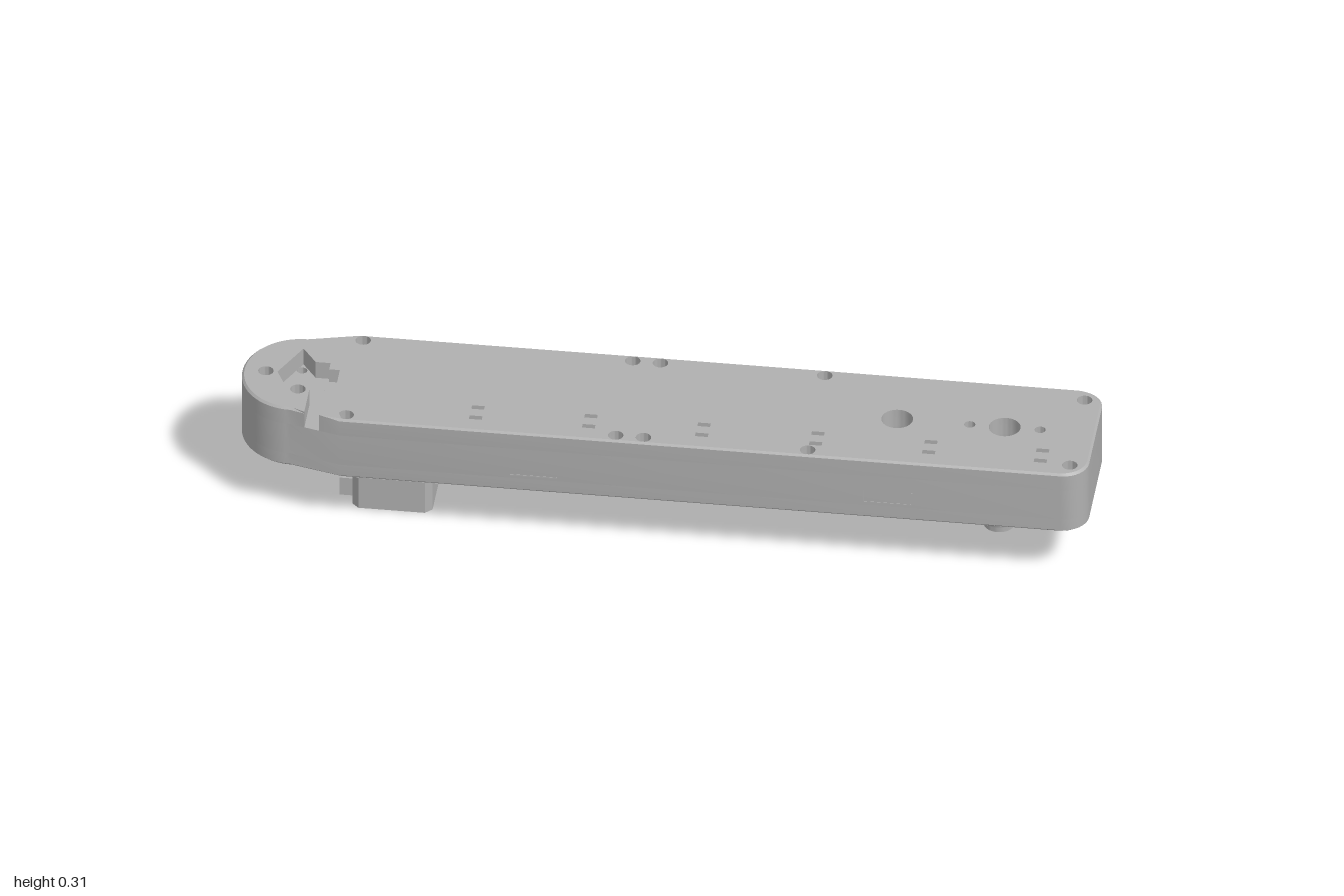
import * as THREE from 'three';
import { toCreasedNormals } from 'three/addons/utils/BufferGeometryUtils.js';

const grey = new THREE.MeshStandardMaterial({ color: 0xb0b0b0 });
grey.name = 'machined grey';

const BOTTOM = 0.142, POCKET = 0.177, LEDGE = 0.26, TOP = 0.305, CHAMFER = 0.005;
const HALF = 0.173;

// Plan outline as [x, z]; the top layers carry a side notch, the bottom layer a motor pocket
function outline(kind) {
  const p = [];
  const endX = z => -0.87 - 0.13 * Math.sqrt(1 - (z / 0.142) ** 2);
  for (let i = 0; i <= 8; i++) {
    const a = Math.PI / 2 * i / 8;
    p.push([0.94 + 0.06 * Math.cos(a), HALF - 0.06 + 0.06 * Math.sin(a)]);
  }
  p.push([-0.75, HALF]);
  if (kind === 'notched') {
    p.push([-0.8, 0.16], [-0.8, 0.025], [-0.775, 0.025], [-0.775, -0.025], [-0.8, -0.025],
      [-0.8, -0.05], [-0.835, -0.05], [-0.87, -0.1], [-0.918, 0], [-0.87, 0.1],
      [-0.835, 0.06], [-0.835, 0.152]);
  }
  let cut = kind === 'pocketed';
  for (let i = 0; i <= 36; i++) {
    const t = Math.PI * i / 36, z = 0.142 * Math.cos(t);
    if (kind === 'pocketed' && z <= -0.03 && z >= -0.06) continue;
    if (cut && z < -0.06) {
      cut = false;
      p.push([endX(-0.03), -0.03], [-0.915, -0.03], [-0.915, 0.03], [-0.88, 0.1], [-0.8, 0.11],
        [-0.53, 0.11], [-0.53, 0.06], [-0.46, 0.06], [-0.46, -0.06], [-0.53, -0.06],
        [-0.53, -0.11], [-0.8, -0.11], [-0.88, -0.1], [-0.905, -0.06], [endX(-0.06), -0.06]);
    }
    p.push([-0.87 - 0.13 * Math.sin(t), z]);
  }
  p.push([-0.75, -HALF]);
  for (let i = 0; i <= 8; i++) {
    const a = -Math.PI / 2 + Math.PI / 2 * i / 8;
    p.push([0.94 + 0.06 * Math.cos(a), -HALF + 0.06 + 0.06 * Math.sin(a)]);
  }
  return p;
}

const toShape = pts => new THREE.Shape(pts.map(([x, z]) => new THREE.Vector2(x, z)));
const circle = ([x, z], r) => new THREE.Path().absarc(x, z, r, 0, Math.PI * 2, true);
const rect = (x, z, w, d) => new THREE.Path([[-1, -1], [-1, 1], [1, 1], [1, -1]]
  .map(([a, b]) => new THREE.Vector2(x + a * w / 2, z + b * d / 2)));

// Extrude a plan shape between two heights
function slab(shape, y0, y1, steps = 1) {
  const g = new THREE.ExtrudeGeometry(shape, { depth: y1 - y0, bevelEnabled: false, curveSegments: 20, steps });
  return g.rotateX(Math.PI / 2).translate(0, y1, 0);
}

export function createModel() {
  const model = new THREE.Group();
  const add = (name, geo, parent = model) => {
    const m = new THREE.Mesh(toCreasedNormals(geo, 0.5), grey);
    m.name = name;
    parent.add(m);
    return m;
  };

  // Hole positions
  const screws = [[-0.945, 0]];
  for (const s of [-1, 1]) {
    for (const x of [-0.737, -0.105, -0.04, 0.345]) screws.push([x, s * 0.151]);
    screws.push([0.957, s * 0.132]);
  }
  const nose = [[-0.87, -0.075], [-0.87, 0.075], [-0.797, 0]];
  const shafts = [[0.535, 0], [0.787, 0]];

  // Housing, stacked in layers
  const housing = new THREE.Group();
  housing.name = 'housing';
  model.add(housing);
  function layer(name, kind, y0, y1, screwRadius, extra, chamferSide = 0) {
    const pts = outline(kind);
    const shape = toShape(pts);
    screws.forEach(p => shape.holes.push(circle(p, screwRadius)));
    shafts.forEach(p => shape.holes.push(circle(p, 0.037)));
    shape.holes.push(...extra);
    const g = slab(shape, y0, y1);
    if (chamferSide) {
      // Pull the outer rim inwards on the exposed side
      const rim = new Set(outline('plain').map(([x, z]) => x.toFixed(4) + ',' + z.toFixed(4)));
      const pos = g.attributes.position;
      const edge = chamferSide > 0 ? y1 : y0;
      for (let i = 0; i < pos.count; i++) {
        const x = pos.getX(i), z = pos.getZ(i);
        if (Math.abs(pos.getY(i) - edge) > 1e-5) continue;
        if (!rim.has(x.toFixed(4) + ',' + z.toFixed(4))) continue;
        pos.setX(i, x * 0.995);
        pos.setZ(i, z * 0.972);
      }
    }
    add(name, g, housing);
  }
  const topDetails = () => {
    const h = [circle([0.705, 0], 0.013), circle([0.87, 0], 0.013)];
    for (const x of [-0.437, -0.172, 0.093, 0.36, 0.625, 0.887])
      for (const z of [0.082, 0.123]) h.push(rect(x, z, 0.03, 0.014));
    return h;
  };
  const bottomDetails = () => {
    const slot = new THREE.Path();
    slot.absarc(0.64, -0.145, 0.014, Math.PI, Math.PI * 2);
    slot.absarc(0.64, -0.1, 0.014, 0, Math.PI);
    slot.closePath();
    return [slot, circle([0.555, -0.114], 0.011)];
  };
  layer('bottomRim', 'pocketed', BOTTOM, BOTTOM + CHAMFER, 0.018, bottomDetails(), -1);
  layer('lowerShell', 'pocketed', BOTTOM + CHAMFER, POCKET, 0.018, bottomDetails());
  layer('middleShell', 'plain', POCKET, LEDGE, 0.012,
    [...nose.map(p => circle(p, 0.012)), circle([-0.87, 0], 0.018)]);
  layer('upperShell', 'notched', LEDGE, TOP - CHAMFER, 0.018, topDetails());
  layer('topRim', 'notched', TOP - CHAMFER, TOP, 0.018, topDetails(), 1);

  // Hollow screw posts in the pocket under the nose
  const tube = (name, c, rOut, rIn, y0, y1, parent) => {
    const s = new THREE.Shape().absarc(c[0], c[1], rOut, 0, Math.PI * 2);
    s.holes.push(circle(c, rIn));
    return add(name, slab(s, y0, y1), parent);
  };
  nose.slice(0, 2).forEach(p => tube('screwPost', p, 0.022, 0.012, BOTTOM, POCKET));

  // Motor block with chamfered corners, end screws and plug
  const motor = new THREE.Group();
  motor.name = 'motor';
  model.add(motor);
  const cx = -0.638, h = 0.094, k = 0.078;
  add('motorBody', slab(toShape([[h, -k], [h, k], [k, h], [-k, h], [-h, k], [-h, -k], [-k, -h], [k, -h]]
    .map(([x, z]) => [cx + x, z])), 0.002, POCKET), motor);
  for (const sx of [-1, 1]) for (const sz of [-1, 1])
    tube('motorScrew', [cx + sx * 0.068, sz * 0.068], 0.012, 0.006, 0, 0.004, motor);
  tube('motorBearingRing', [cx, 0], 0.026, 0.022, 0, 0.004, motor);
  add('motorPlug', new THREE.BoxGeometry(0.036, 0.048, 0.09).translate(-0.748, 0.025, 0), motor);

  // Bearing flange: a lens-like plate flaring into the underside
  const fc = 0.787;
  const pts = [];
  const arc = (z, r, a0, a1) => {
    for (let i = 0; i <= 10; i++) {
      const a = a0 + (a1 - a0) * i / 10;
      pts.push([fc + r * Math.cos(a), z + r * Math.sin(a)]);
    }
  };
  arc(0, 0.082, -0.5, 0.5);
  arc(0.094, 0.036, 0.5, Math.PI - 0.5);
  arc(0, 0.082, Math.PI - 0.5, Math.PI + 0.5);
  arc(-0.094, 0.036, Math.PI + 0.5, Math.PI * 2 - 0.5);
  const flange = toShape(pts);
  flange.holes.push(circle([fc, 0], 0.056));
  const fg = slab(flange, 0.097, BOTTOM, 8);
  const fp = fg.attributes.position;
  for (let i = 0; i < fp.count; i++) {
    const dx = fp.getX(i) - fc, dz = fp.getZ(i), r = Math.hypot(dx, dz);
    if (r < 0.065) continue;
    const t = (fp.getY(i) - 0.097) / (BOTTOM - 0.097);
    const f = 1 + 0.021 * t ** 3 / r;
    fp.setX(i, fc + dx * f);
    fp.setZ(i, dz * f);
  }
  add('bearingFlange', fg);

  // Shallow collar around the second shaft hole
  tube('shaftCollar', [0.535, 0], 0.06, 0.042, 0.134, BOTTOM);

  // Fine seams on the sides and end
  const seam = (x, y, z, w, hgt, d) => add('seam', new THREE.BoxGeometry(w, hgt, d).translate(x, y, z));
  for (const s of [-1, 1]) seam(-0.295, 0.186, s * HALF, 0.11, 0.003, 0.002);
  seam(0.535, 0.186, HALF, 0.116, 0.003, 0.002);
  for (const x of [0.478, 0.592]) seam(x, 0.203, HALF, 0.003, 0.035, 0.002);
  seam(0.999, 0.187, 0, 0.002, 0.003, 0.112);

  // Small round port on the back
  add('sidePort', new THREE.TorusGeometry(0.011, 0.0025, 8, 24).translate(0.66, 0.2, -HALF));

  return model;
}
